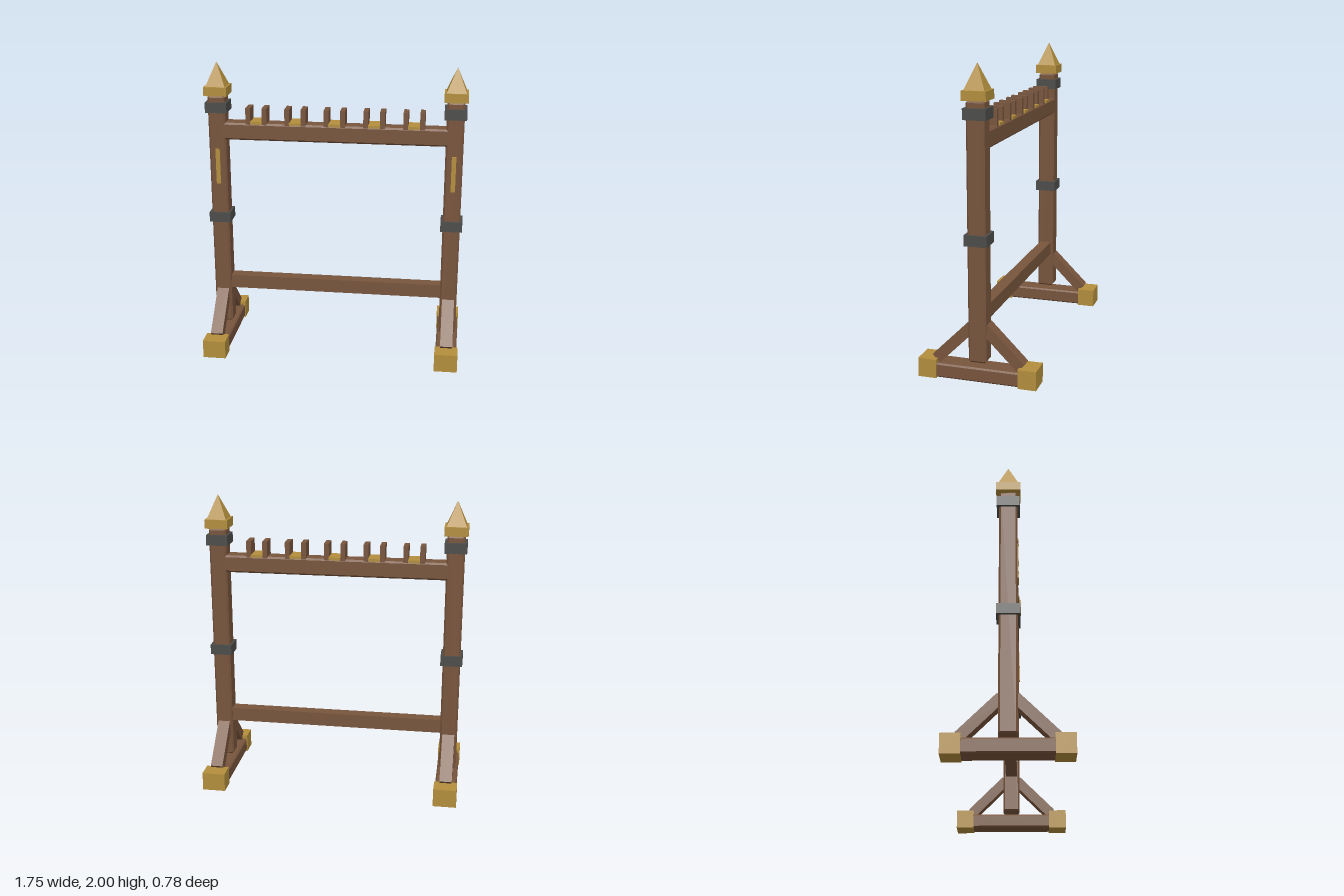
import * as THREE from 'three';
import { ConvexGeometry } from 'three/addons/geometries/ConvexGeometry.js';

const mat = (name, color) => {
  const m = new THREE.MeshStandardMaterial({ color });
  m.name = name;
  return m;
};

// Box with every edge chamfered by b
function chamferBox(w, h, d, b) {
  const pts = [];
  for (const x of [-1, 1]) for (const y of [-1, 1]) for (const z of [-1, 1]) {
    const X = x * w / 2, Y = y * h / 2, Z = z * d / 2;
    pts.push(
      new THREE.Vector3(X, Y - y * b, Z - z * b),
      new THREE.Vector3(X - x * b, Y, Z - z * b),
      new THREE.Vector3(X - x * b, Y - y * b, Z));
  }
  return new ConvexGeometry(pts);
}

export function createModel() {
  const wood = mat('brown wood', 0x78553d);
  const brass = mat('brass', 0xb38e3d);
  const iron = mat('dark iron', 0x4c4c4a);
  const root = new THREE.Group();
  root.name = 'weaponRack';

  const add = (parent, name, geo, material, x, y, z) => {
    const m = new THREE.Mesh(geo, material);
    m.name = name;
    m.position.set(x, y, z);
    parent.add(m);
    return m;
  };
  const box = (w, h, d) => new THREE.BoxGeometry(w, h, d);

  // Two identical end frames
  for (const side of [-1, 1]) {
    const end = new THREE.Group();
    end.name = side > 0 ? 'leftEnd' : 'rightEnd';
    end.position.x = side * 0.797;
    root.add(end);

    add(end, 'post', chamferBox(0.117, 1.65, 0.117, 0.012), wood, 0, 0.953, 0);
    add(end, 'footBeam', chamferBox(0.145, 0.095, 0.62, 0.01), wood, 0, 0.0525, 0);

    // Brass foot caps and diagonal braces, front and back
    for (const s of [-1, 1]) {
      add(end, 'footCap', box(0.156, 0.125, 0.12), brass, 0, 0.0625, s * 0.33);
      const brace = add(end, 'brace', box(0.083, 0.34, 0.07), wood, 0, 0.24, s * 0.16);
      brace.rotation.x = -s * Math.PI / 4;
    }

    // Iron bands
    for (const y of [0.925, 1.7])
      add(end, 'band', box(0.147, 0.07, 0.147), iron, 0, y, 0);

    // Finial: square collar and four-sided spike
    add(end, 'finialCollar', box(0.156, 0.06, 0.156), brass, 0, 1.81, 0);
    const spike = new THREE.ConeGeometry(0.066 * Math.SQRT2, 0.16, 4, 1).toNonIndexed();
    spike.rotateY(Math.PI / 4);
    spike.computeVertexNormals();
    add(end, 'finialSpike', spike, brass, 0, 1.92, 0);

    // Inlay strip on the front face
    add(end, 'inlay', box(0.03, 0.245, 0.009), brass, 0, 1.292, 0.0605);
  }

  // Cross members
  add(root, 'topRail', chamferBox(1.56, 0.117, 0.117, 0.012), wood, 0, 1.538, 0);
  add(root, 'lowerRail', box(1.5, 0.095, 0.08), wood, 0, 0.4325, 0);

  // Five slots: a pair of pegs with a brass pad between
  for (let i = -2; i <= 2; i++) {
    const slot = new THREE.Group();
    slot.name = 'slot';
    slot.position.set(i * 0.264, 1.595, 0);
    root.add(slot);
    for (const s of [-1, 1])
      add(slot, 'peg', box(0.033, 0.115, 0.11), wood, s * 0.055, 0.0475, 0);
    add(slot, 'pad', box(0.08, 0.018, 0.13), brass, 0, 0.006, 0);
  }
  return root;
}
